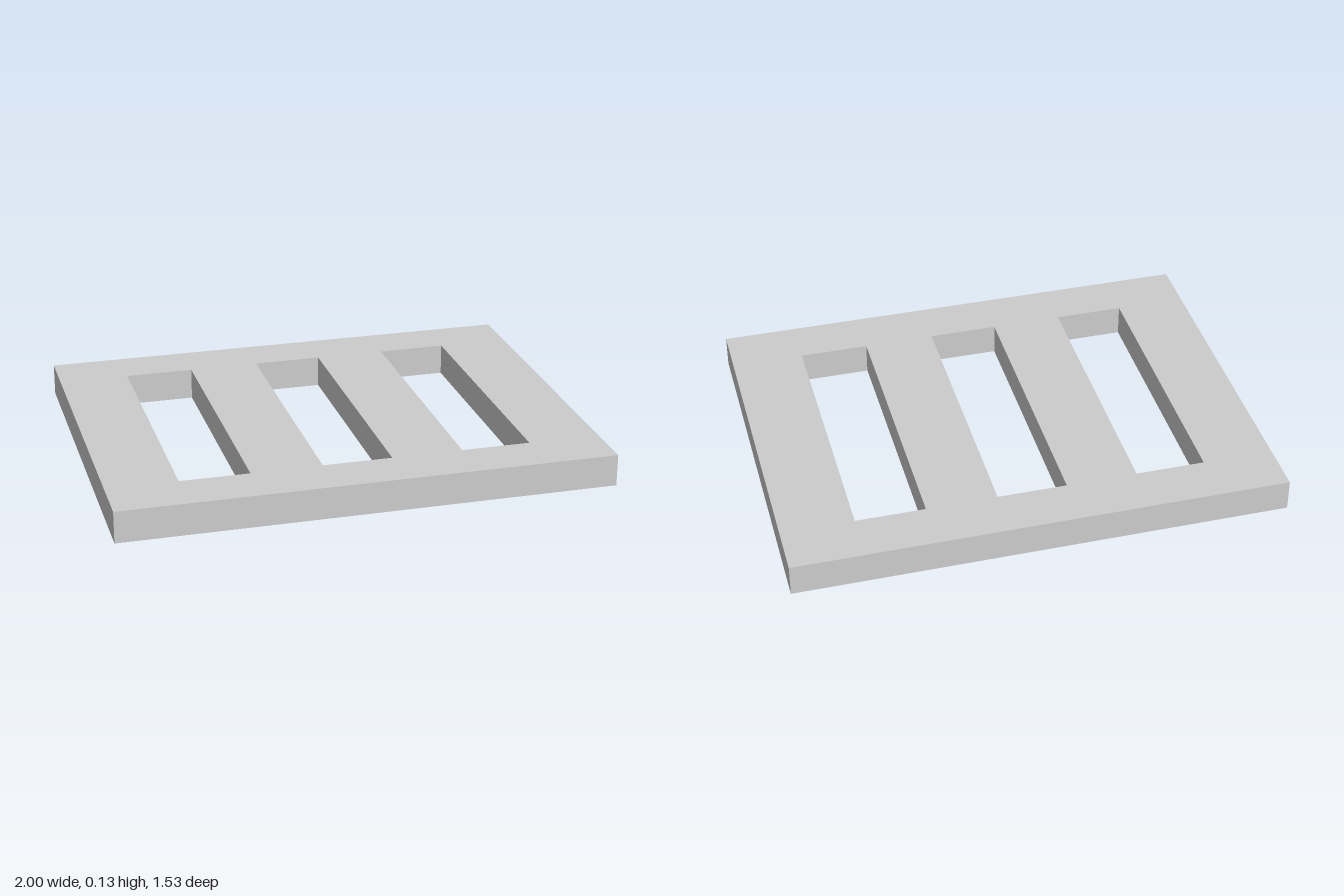
import * as THREE from 'three';

const WIDTH = 2, DEPTH = 1.535, HEIGHT = 0.13;
const SLOT_WIDTH = 0.281, SLOT_DEPTH = 1.125, SLOT_PITCH = 0.569;
const FIRST_SLOT = -0.713; // x of the first slot's edge

// Traces a rectangle onto a Shape or Path
function rectangle(path, x0, y0, w, h) {
  path.moveTo(x0, y0);
  path.lineTo(x0 + w, y0);
  path.lineTo(x0 + w, y0 + h);
  path.lineTo(x0, y0 + h);
  path.closePath();
  return path;
}

export function createModel() {
  const group = new THREE.Group();
  group.name = 'slottedPlate';

  // Plate outline with three long slots cut through it
  const outline = rectangle(new THREE.Shape(), -WIDTH / 2, -DEPTH / 2, WIDTH, DEPTH);
  for (let i = 0; i < 3; i++) {
    const x = FIRST_SLOT + i * SLOT_PITCH;
    outline.holes.push(rectangle(new THREE.Path(), x, -SLOT_DEPTH / 2, SLOT_WIDTH, SLOT_DEPTH));
  }

  // Extrude, then lay flat on the ground
  const geometry = new THREE.ExtrudeGeometry(outline, { depth: HEIGHT, bevelEnabled: false });
  geometry.rotateX(-Math.PI / 2);

  const plate = new THREE.Mesh(
    geometry,
    new THREE.MeshStandardMaterial({ color: 0xcccccc, flatShading: true })
  );
  plate.name = 'plate';
  group.add(plate);
  return group;
}
